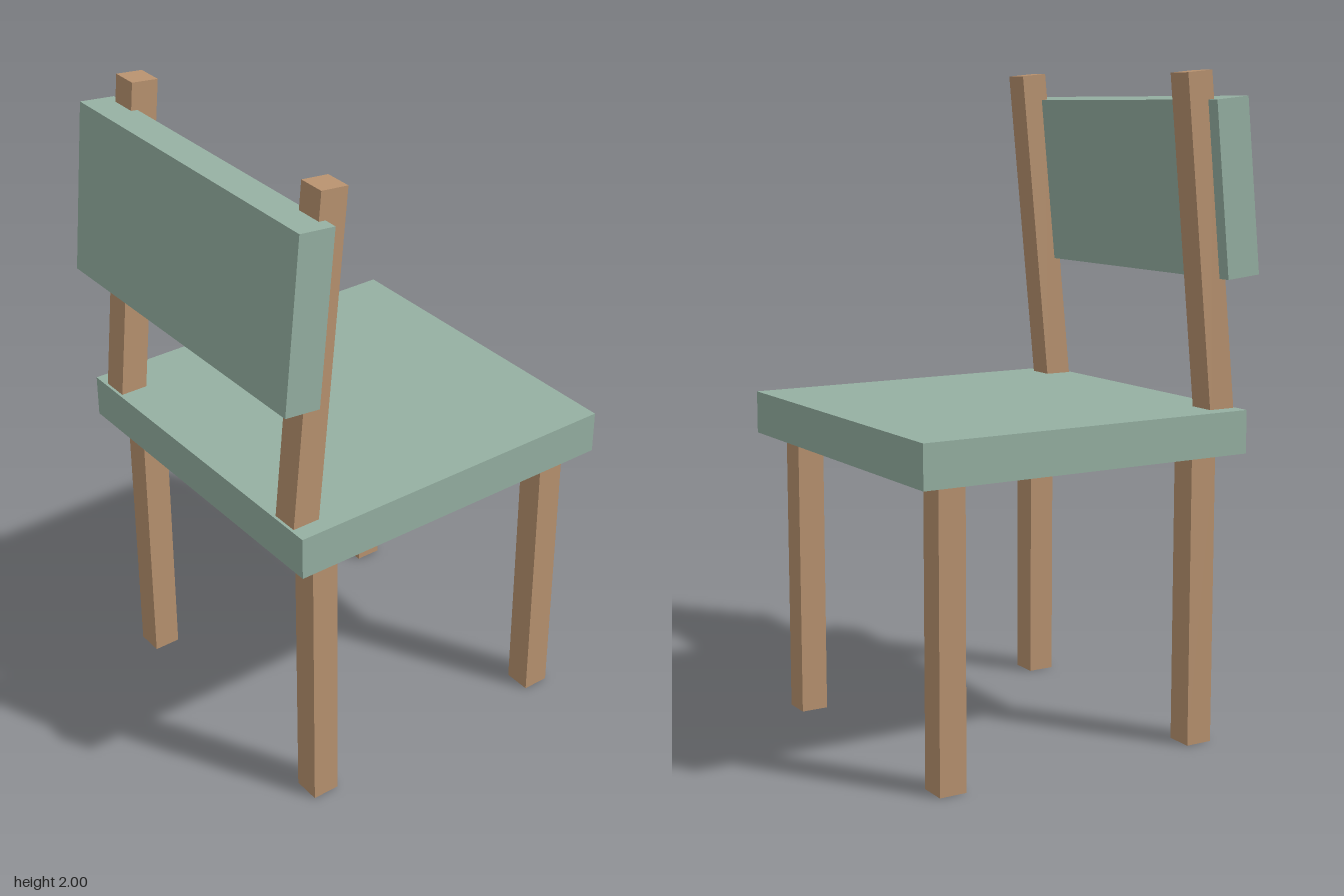
import * as THREE from 'three';

export function createModel() {
  const model = new THREE.Group();
  const green = new THREE.MeshStandardMaterial({ color: 0x95b0a2 });
  const wood = new THREE.MeshStandardMaterial({ color: 0xb8926f });

  const addBox = (name, material, [w, h, d], [x, y, z], tilt = 0) => {
    const mesh = new THREE.Mesh(new THREE.BoxGeometry(w, h, d), material);
    mesh.name = name;
    mesh.position.set(x, y, z);
    mesh.rotation.x = tilt;
    model.add(mesh);
  };

  const lean = -0.1; // backrest lean, in radians
  const post = 0.085; // thickness of legs and posts

  // Seat slab
  addBox('seat', green, [1.08, 0.13, 1.083], [0, 0.95, -0.023]);

  // Four legs and two leaning back posts, mirrored left and right
  for (const [side, x] of [['left', 0.445], ['right', -0.445]]) {
    addBox(`${side}FrontLeg`, wood, [post, 0.9, post], [x, 0.45, 0.403]);
    addBox(`${side}BackLeg`, wood, [post, 0.9, post], [x, 0.45, -0.447]);
    addBox(`${side}BackPost`, wood, [post, 1.03, post], [x, 1.483, 0.42], lean);
  }

  // Backrest panel, set slightly into the posts
  addBox('backrest', green, [1.06, 0.518, 0.112], [0, 1.663, 0.48], lean);

  return model;
}
